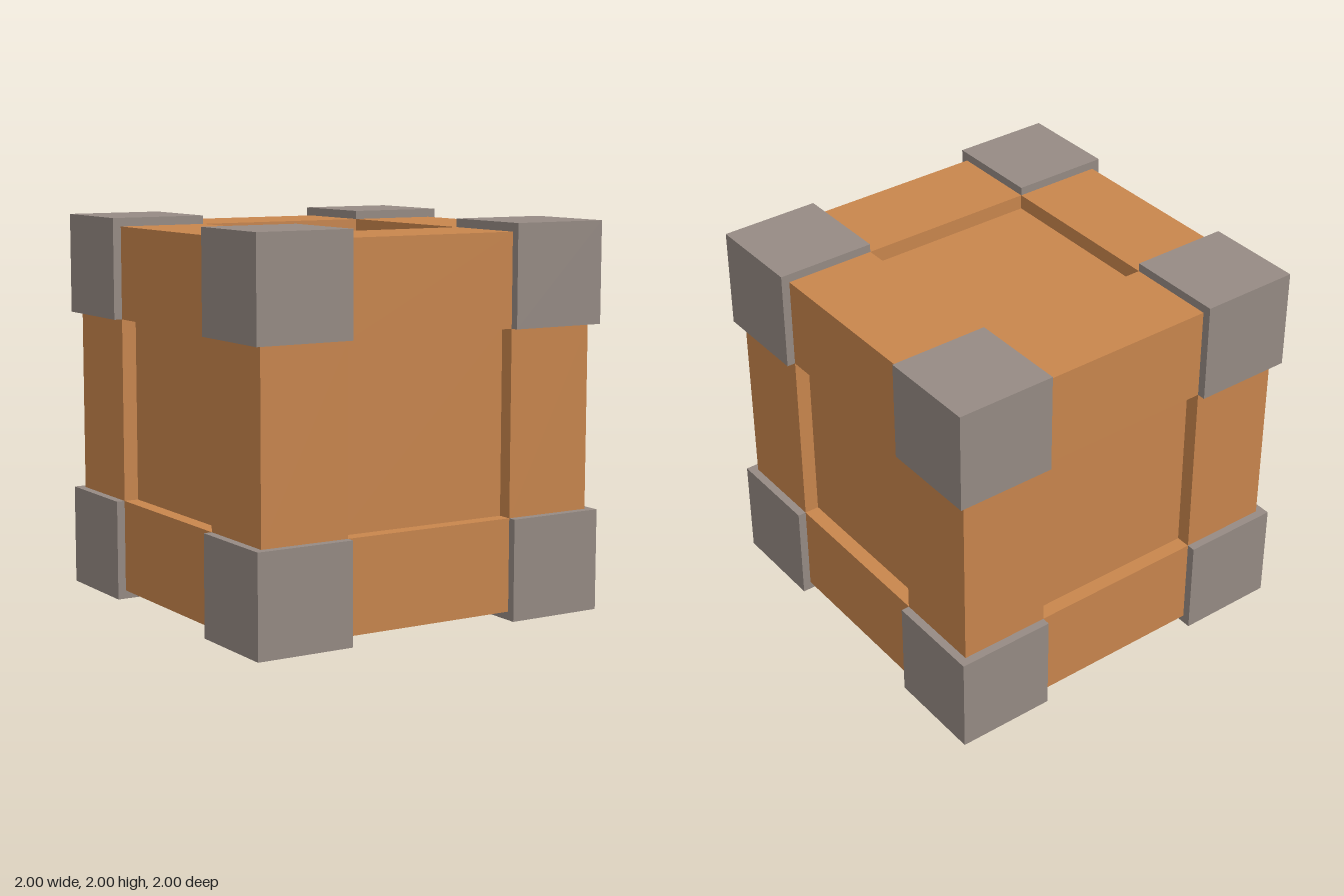
import * as THREE from 'three';

const OUTER = 1;      // half size over the corner blocks
const BEAM = 0.956;   // outer face of the edge beams
const INNER = 0.477;  // inner face of beams and corner blocks
const PANEL = 0.878;  // half size of the recessed core

export function createModel() {
  const wood = new THREE.MeshStandardMaterial({ color: 0xc9864d });
  wood.name = 'orange wood';
  const metal = new THREE.MeshStandardMaterial({ color: 0x968b84 });
  metal.name = 'grey metal';

  const crate = new THREE.Group();
  crate.name = 'crate';

  const addBox = (name, size, position, material) => {
    const mesh = new THREE.Mesh(new THREE.BoxGeometry(...size), material);
    mesh.name = name;
    mesh.position.set(position[0], position[1] + OUTER, position[2]);
    crate.add(mesh);
  };

  // recessed panels on all six sides, formed by one core
  addBox('panelCore', [PANEL * 2, PANEL * 2, PANEL * 2], [0, 0, 0], wood);

  // twelve edge beams, four along each axis, ending at the corner blocks
  const thick = BEAM - INNER;
  const beamMid = (BEAM + INNER) / 2;
  for (let axis = 0; axis < 3; axis++) {
    for (const a of [-1, 1]) {
      for (const b of [-1, 1]) {
        const size = [thick, thick, thick];
        const position = [0, 0, 0];
        size[axis] = INNER * 2;
        position[(axis + 1) % 3] = a * beamMid;
        position[(axis + 2) % 3] = b * beamMid;
        addBox('edgeBeam', size, position, wood);
      }
    }
  }

  // eight protective corner blocks
  const block = OUTER - INNER;
  const blockMid = (OUTER + INNER) / 2;
  for (const x of [-1, 1]) {
    for (const y of [-1, 1]) {
      for (const z of [-1, 1]) {
        addBox('cornerBlock', [block, block, block], [x * blockMid, y * blockMid, z * blockMid], metal);
      }
    }
  }

  return crate;
}
